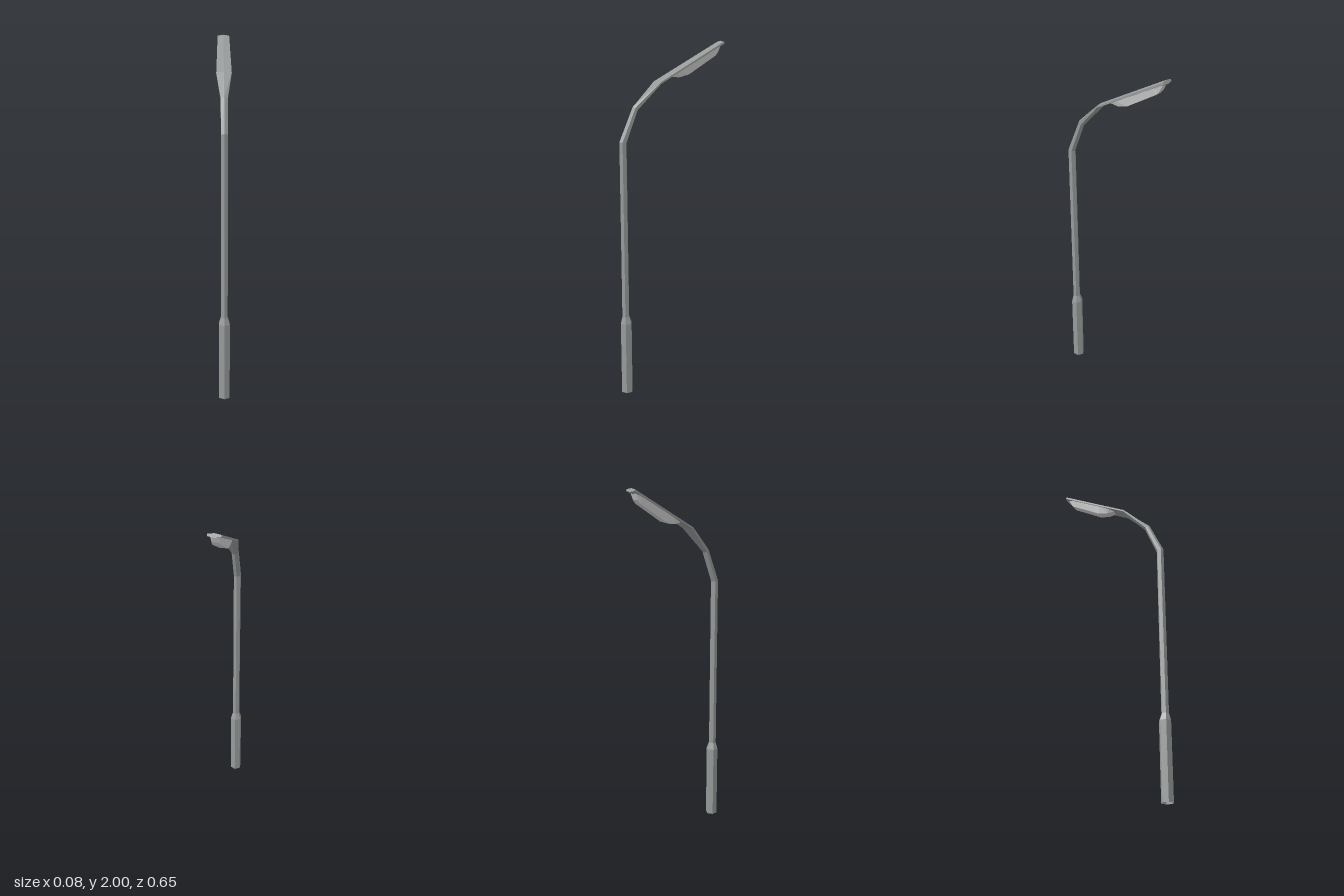
import * as THREE from 'three';

// Skin closed cross-sections (points clockwise in the x / normal plane), optionally capping both ends
function loft(rings, capped) {
  const pos = [];
  const tri = (...pts) => pts.forEach((p) => pos.push(...p));
  const n = rings[0].length;
  for (let i = 0; i < rings.length - 1; i++) {
    for (let j = 0; j < n; j++) {
      const k = (j + 1) % n;
      const a = rings[i][j], b = rings[i][k], c = rings[i + 1][k], d = rings[i + 1][j];
      tri(a, b, c);
      tri(a, c, d);
    }
  }
  if (capped) {
    const first = rings[0], last = rings[rings.length - 1];
    for (let j = 1; j < n - 1; j++) {
      tri(first[0], first[j + 1], first[j]);
      tri(last[0], last[j], last[j + 1]);
    }
  }
  const g = new THREE.BufferGeometry();
  g.setAttribute('position', new THREE.Float32BufferAttribute(pos, 3));
  g.computeVertexNormals();
  return g;
}

// Hexagon centred at (y, z); its normal axis leans by tilt from +z towards +y
function hexRing([y, z, halfWidth, depth, tilt]) {
  return Array.from({ length: 6 }, (_, i) => {
    const a = Math.PI / 2 - (i * Math.PI) / 3;
    const x = (halfWidth * Math.cos(a)) / Math.cos(Math.PI / 6);
    const d = depth * Math.sin(a);
    return [x, y + d * Math.sin(tilt), z + d * Math.cos(tilt)];
  });
}

export function createModel() {
  const group = new THREE.Group();
  const metal = new THREE.MeshStandardMaterial({ color: 0x969b9a, side: THREE.DoubleSide });
  metal.name = 'grey metal';
  const glass = new THREE.MeshStandardMaterial({ color: 0xd2d2d2 });
  glass.name = 'pale glass';

  const add = (name, rings, material, capped) => {
    const mesh = new THREE.Mesh(loft(rings, capped), material);
    mesh.name = name;
    group.add(mesh);
  };

  // Sections from the ground to the tip: y, z, half width, depth, tilt
  const rings = [
    [0, 0.29, 0.03, 0.034, 0],
    [0.43, 0.29, 0.03, 0.034, 0],
    [0.47, 0.292, 0.0185, 0.0215, 0],
    [1.47, 0.292, 0.0185, 0.0215, 0.2],
    [1.648, 0.217, 0.0185, 0.018, 0.7],
    [1.783, 0.08, 0.042, 0.009, 1.02],
    [1.99, -0.319, 0.034, 0.011, 1.09],
  ].map(hexRing);
  add('base', rings.slice(0, 3), metal, false);
  add('pole', rings.slice(2, 4), metal, false);
  add('arm', rings.slice(3, 6), metal, false);
  add('lampHead', rings.slice(5), metal, true);

  // Lens below the head: distance along head, drop, upper half width, lower half width
  const tilt = 1.09, s = Math.sin(tilt), c = Math.cos(tilt);
  const lensRings = [
    [0.08, 0.009, 0.022, 0.018],
    [0.118, 0.034, 0.033, 0.021],
    [0.178, 0.049, 0.035, 0.024],
    [0.375, 0.041, 0.032, 0.022],
    [0.4, 0.031, 0.03, 0.02],
    [0.428, 0.01, 0.024, 0.018],
  ].map(([along, drop, top, bottom]) =>
    [[-top, 0], [top, 0], [bottom, -drop], [-bottom, -drop]].map(([x, n]) => [
      x,
      1.783 + along * c + n * s,
      0.08 - along * s + n * c,
    ]));
  add('lens', lensRings, glass, true);

  return group;
}
